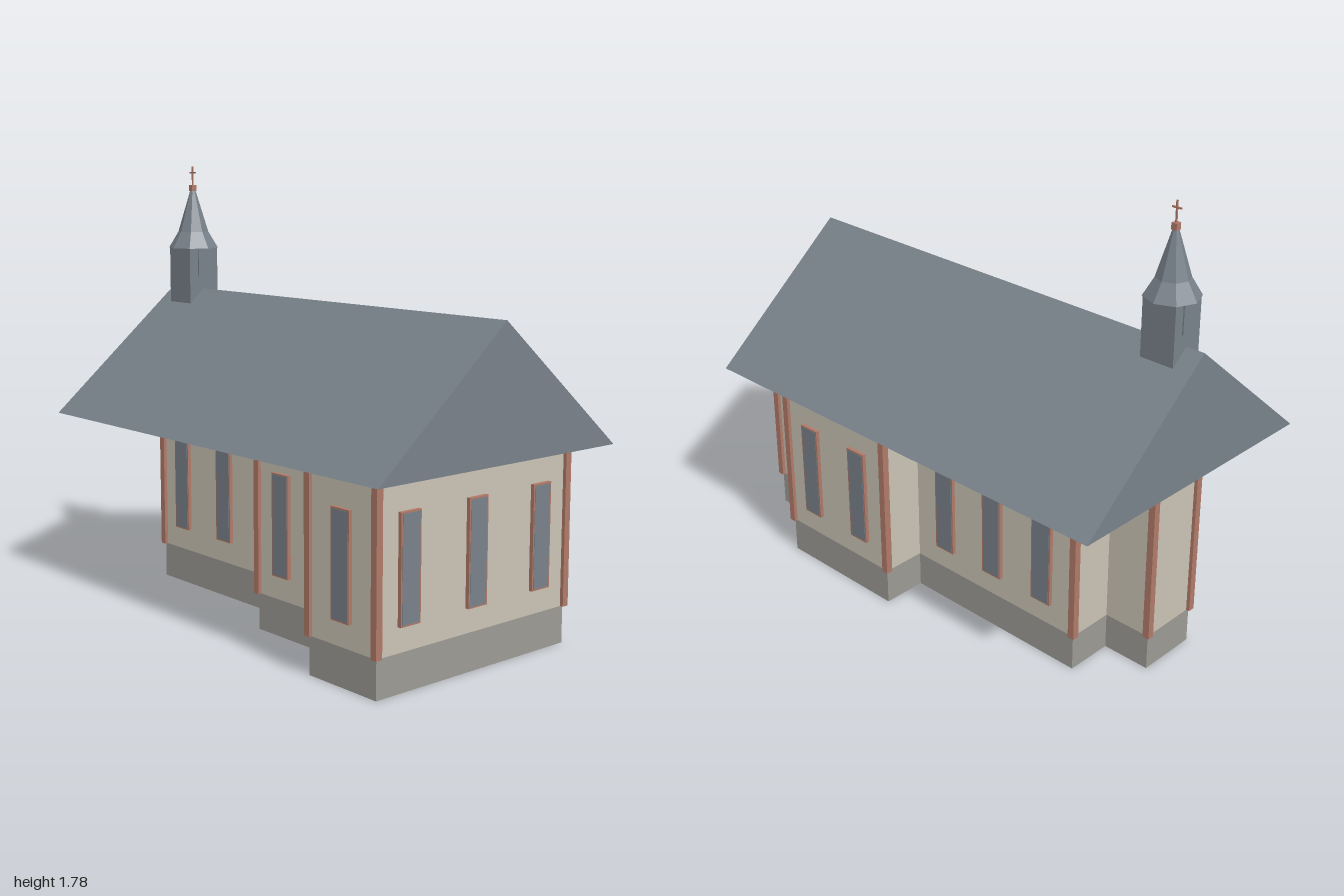
import * as THREE from 'three';

const mat = (name, color) => {
  const m = new THREE.MeshStandardMaterial({ color });
  m.name = name;
  return m;
};

export function createModel() {
  const model = new THREE.Group();
  model.name = 'chapel';

  const plaster = mat('plaster', 0xc9c3b4);
  const stone = mat('stone', 0x9c9a94);
  const slate = mat('slate', 0x78818a);
  const brick = mat('brick', 0xb07a68);
  slate.flatShading = true;

  const add = (name, geometry, material, parent = model) => {
    const mesh = new THREE.Mesh(geometry, material);
    mesh.name = name;
    parent.add(mesh);
    return mesh;
  };
  const box = (name, w, h, d, x, y, z, material, parent) => {
    const mesh = add(name, new THREE.BoxGeometry(w, h, d), material, parent);
    mesh.position.set(x, y, z);
    return mesh;
  };

  const BASE = 0.145, EAVE = 0.737, RIDGE = 1.25;

  // Stepped floor plan as [x, z, 1 where the corner points outwards]
  const plan = [
    [0.97, 0.585, 1], [0.97, -0.37, 1], [0.625, -0.37, 0], [0.625, -0.585, 1],
    [0.05, -0.585, 1], [0.05, -0.405, 0], [-0.775, -0.405, 1], [-0.775, -0.21, 0],
    [-0.975, -0.21, 1], [-0.975, 0.04, 1], [-0.775, 0.04, 0], [-0.775, 0.22, 1],
    [0.095, 0.22, 0], [0.095, 0.39, 1], [0.625, 0.39, 0], [0.625, 0.585, 1],
  ];
  const floor = new THREE.Shape(plan.map(([x, z]) => new THREE.Vector2(x, -z)));
  const storey = (name, y0, y1, material) => {
    const g = new THREE.ExtrudeGeometry(floor, { depth: y1 - y0, bevelEnabled: false });
    g.rotateX(-Math.PI / 2);
    g.translate(0, y0, 0);
    add(name, g, material);
  };
  storey('plinth', 0, BASE, stone);
  storey('walls', BASE, EAVE, plaster);

  // Corner posts on every outward corner
  for (const [x, z, outward] of plan) {
    if (outward) box('cornerPost', 0.028, EAVE - BASE, 0.028, x, (EAVE + BASE) / 2, z, brick);
  }

  // Windows: shallow brick frame with a thin pane on its face
  const addWindow = (x, z, angle) => {
    const g = new THREE.Group();
    g.name = 'window';
    box('windowFrame', 0.094, 0.4, 0.03, 0, 0, 0, brick, g);
    box('windowPane', 0.082, 0.388, 0.004, 0, 0, 0.0145, slate, g);
    g.position.set(x, 0.438, z);
    g.rotation.y = angle;
    model.add(g);
  };
  const rows = [
    [0.22, 0, [-0.63, -0.34, -0.05]],
    [0.39, 0, [0.24, 0.485]],
    [0.585, 0, [0.8]],
    [-0.405, Math.PI, [-0.62, -0.365, -0.11]],
    [-0.585, Math.PI, [0.2, 0.48]],
    [-0.37, Math.PI, [0.8]],
  ];
  for (const [z, angle, xs] of rows) for (const x of xs) addWindow(x, z, angle);
  for (const z of [0.44, 0.11, -0.225]) addWindow(0.97, z, Math.PI / 2);

  // Gabled roof, closed underneath
  const gable = new THREE.Shape([
    new THREE.Vector2(-0.61, EAVE), new THREE.Vector2(0.61, EAVE), new THREE.Vector2(0, RIDGE),
  ]);
  const roof = new THREE.ExtrudeGeometry(gable, { depth: 2, bevelEnabled: false });
  roof.translate(0, 0, -1);
  roof.rotateY(Math.PI / 2);
  add('roof', roof, slate);

  // Ridge turret with an eight-sided flared spire
  const turret = new THREE.Group();
  turret.name = 'turret';
  turret.position.x = -0.847;
  model.add(turret);
  box('turretBody', 0.147, 0.27, 0.147, 0, 1.295, 0, slate, turret);
  for (const s of [-1, 1]) box('louvre', 0.006, 0.12, 0.06, s * 0.0755, 1.362, 0, slate, turret);
  const profile = [[0, 1.425], [0.108, 1.425], [0.066, 1.495], [0.011, 1.675], [0, 1.675]];
  add('spire', new THREE.LatheGeometry(profile.map(p => new THREE.Vector2(...p)), 8), slate, turret);

  // Finial and cross
  box('finial', 0.024, 0.026, 0.024, 0, 1.683, 0, brick, turret);
  box('crossUpright', 0.006, 0.085, 0.006, 0, 1.734, 0, brick, turret);
  box('crossArm', 0.04, 0.006, 0.006, 0, 1.75, 0, brick, turret);

  return model;
}
